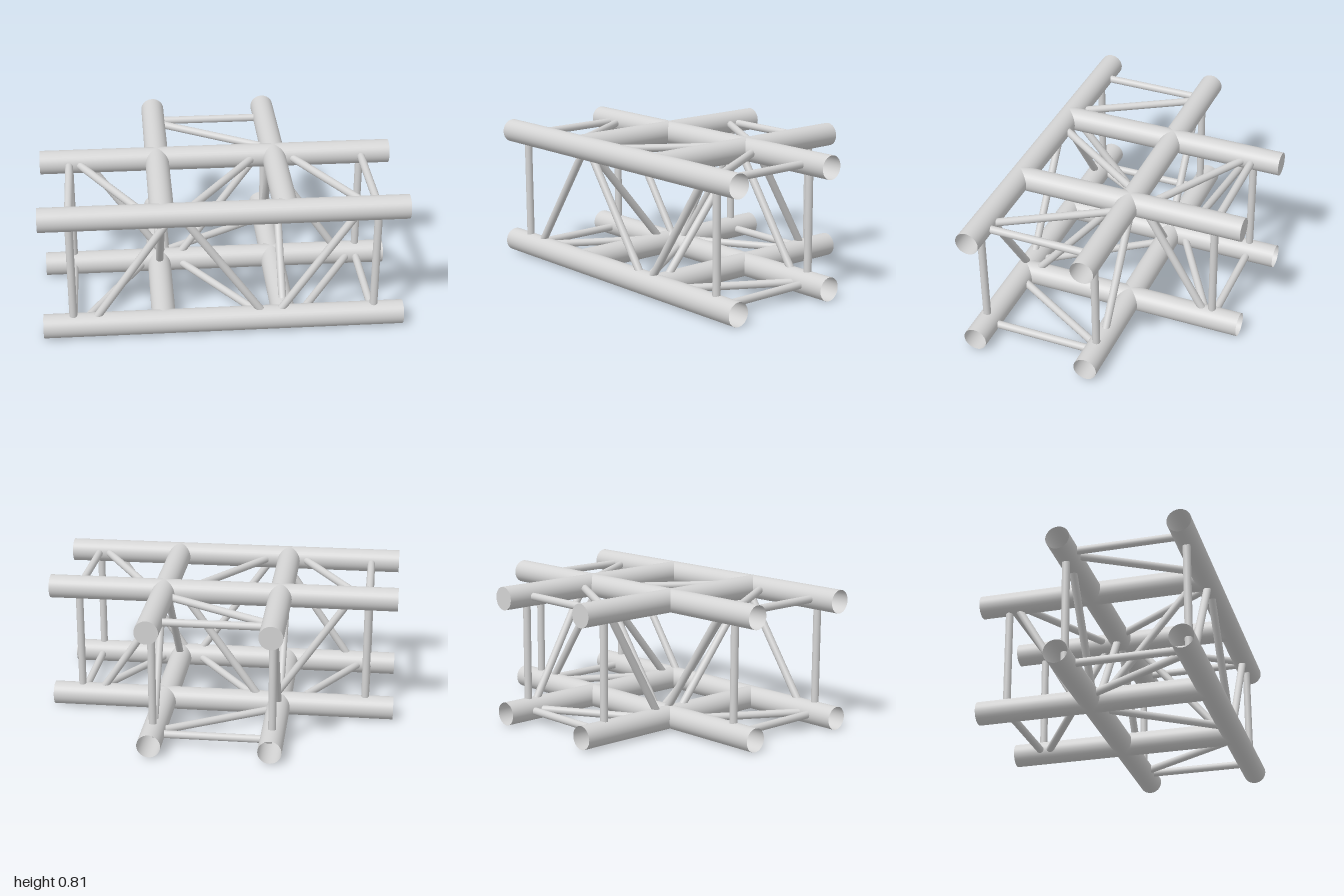
import * as THREE from 'three';

// Truss layout: main tube centre lines
const R = 0.067, r = 0.022;
const LOW = 0.067, HIGH = 0.74;
const FRONT = 0.633, BACK = -0.037, SIDE = 0.335;

export function createModel() {
  const group = new THREE.Group();
  // Double sided so the hollow chords show their inner walls
  const metal = new THREE.MeshStandardMaterial({ color: 0xd4d4d4, side: THREE.DoubleSide });
  metal.name = 'brushed aluminium';

  // Round bar between two points
  function bar(name, a, b, radius = r, open = false) {
    const from = new THREE.Vector3(...a), to = new THREE.Vector3(...b);
    const dir = to.clone().sub(from);
    const geo = new THREE.CylinderGeometry(radius, radius, dir.length(), radius > r ? 32 : 16, 1, open);
    const mesh = new THREE.Mesh(geo, metal);
    mesh.name = name;
    mesh.position.copy(from).add(to).multiplyScalar(0.5);
    mesh.quaternion.setFromUnitVectors(new THREE.Vector3(0, 1, 0), dir.normalize());
    group.add(mesh);
  }

  // Main chords: hollow tubes along x and z
  for (const y of [LOW, HIGH]) {
    for (const z of [FRONT - 0.003, BACK]) bar('longChord', [-1, y, z], [1, y, z], R, true);
    for (const x of [-SIDE, SIDE]) bar('crossChord', [x, y, FRONT], [x, y, -0.7], R, true);
  }

  // End plates closing the upper cross chords
  for (const x of [-SIDE, SIDE]) {
    const cap = new THREE.Mesh(new THREE.CircleGeometry(R, 32), metal);
    cap.name = 'chordCap';
    cap.position.set(x, HIGH, -0.7);
    cap.rotation.y = Math.PI;
    group.add(cap);
  }

  // Square end frames on the two long arms
  for (const x of [-0.835, 0.835]) {
    for (const z of [FRONT, BACK]) bar('framePost', [x, LOW - 0.01, z], [x, HIGH + 0.01, z]);
    for (const y of [LOW, HIGH]) bar('frameRail', [x, y, BACK - 0.01], [x, y, FRONT + 0.01]);
  }

  // End frame on the rear arm
  for (const x of [-SIDE, SIDE]) bar('rearFramePost', [x, LOW, -0.535], [x, HIGH, -0.535]);
  for (const y of [LOW, HIGH]) bar('rearFrameRail', [-SIDE, y, -0.535], [SIDE, y, -0.535]);

  // Zigzag braces on the front and back faces, mirrored in height
  for (const [a, b] of [[-0.74, -0.28], [0.24, -0.24], [0.28, 0.74]]) {
    bar('frontBrace', [a, LOW, FRONT], [b, HIGH, FRONT]);
    bar('backBrace', [a, HIGH, BACK], [b, LOW, BACK]);
  }

  // Zigzag braces in the two cross planes
  for (const [a, b] of [[0.578, 0.015], [-0.505, -0.115]]) {
    bar('leftCrossBrace', [SIDE, LOW, a], [SIDE, HIGH, b]);
    bar('rightCrossBrace', [-SIDE, HIGH, a], [-SIDE, LOW, b]);
  }

  // Level braces of the long body, opposite ways above and below
  for (const [a, b] of [[-0.805, -0.41], [0.235, -0.235], [0.41, 0.805]]) {
    bar('upperBrace', [a, HIGH, BACK], [b, HIGH, FRONT]);
    bar('lowerBrace', [b, LOW, BACK], [a, LOW, FRONT]);
  }

  // Level braces of the rear arm
  bar('upperRearBrace', [-SIDE, HIGH, -0.508], [SIDE, HIGH, -0.117]);
  bar('lowerRearBrace', [SIDE, LOW, -0.508], [-SIDE, LOW, -0.117]);

  return group;
}
